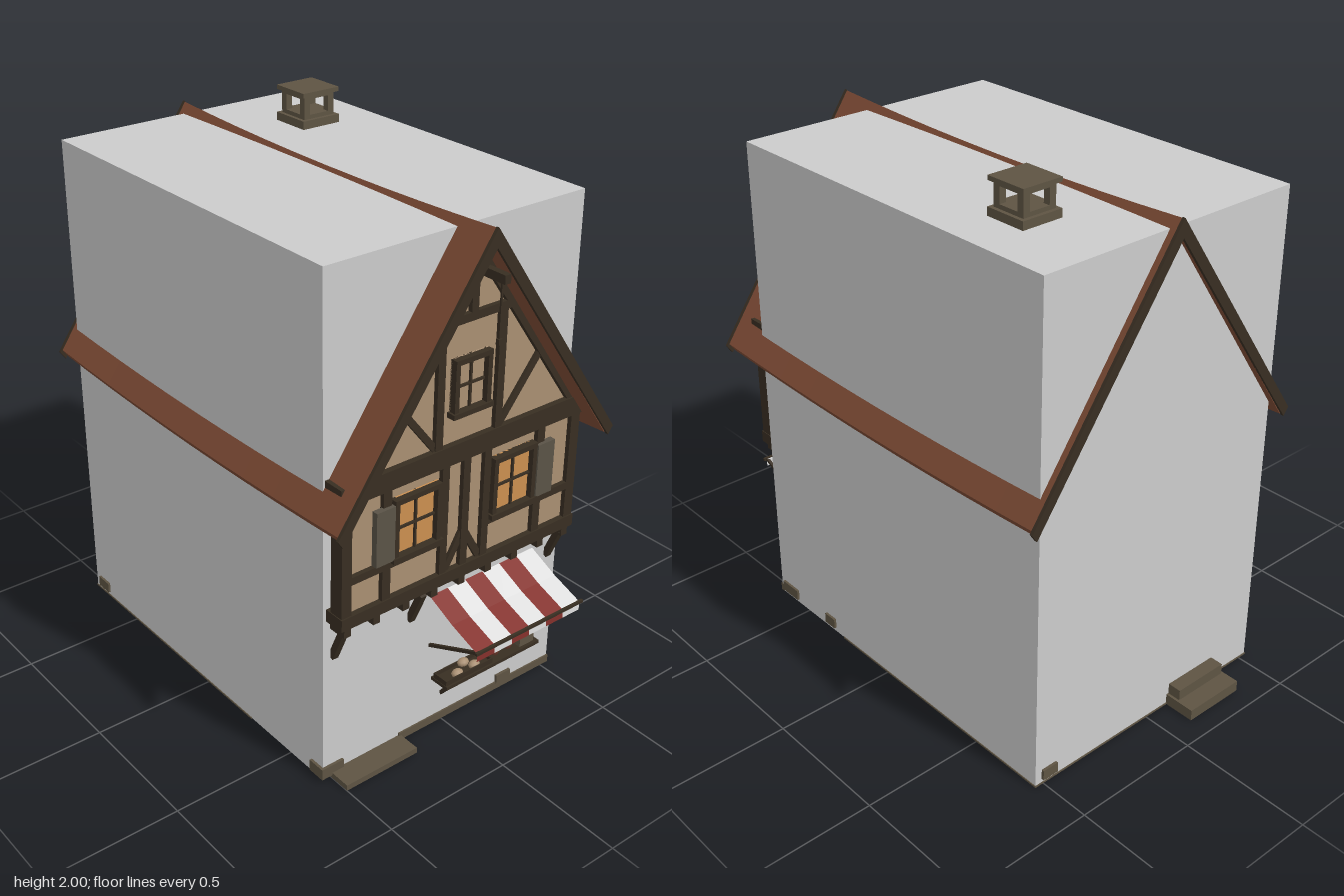
import * as THREE from 'three';

const mat = (name, color, side = THREE.FrontSide) => {
  const m = new THREE.MeshStandardMaterial({ color, side });
  m.name = name;
  return m;
};

export function createModel() {
  const house = new THREE.Group();
  house.name = 'timberHouse';
  const wall = mat('paleGrey', 0xcccccc);
  const timber = mat('darkTimber', 0x382e22);
  const plaster = mat('plaster', 0xa98f72);
  const tile = mat('roofTile', 0x7c4a34);
  const stone = mat('stone', 0x5e5443);
  const shutterPaint = mat('shutterGrey', 0x5a5347);
  const glow = mat('amberGlass', 0xcc9050);
  const red = mat('awningRed', 0x84302b, THREE.DoubleSide);
  const white = mat('awningWhite', 0xdedede, THREE.DoubleSide);
  const clay = mat('clay', 0x7c4636);

  const add = (name, geometry, material) => {
    const mesh = new THREE.Mesh(geometry, material);
    mesh.name = name;
    house.add(mesh);
    return mesh;
  };
  // Box given by its limits on each axis
  const box = (name, m, x0, x1, y0, y1, z0, z1) => {
    const mesh = add(name, new THREE.BoxGeometry(x1 - x0, y1 - y0, z1 - z0), m);
    mesh.position.set((x0 + x1) / 2, (y0 + y1) / 2, (z0 + z1) / 2);
    return mesh;
  };
  // Straight beam between two points
  const beam = (name, a, b, w, d, m = timber) => {
    const p = new THREE.Vector3(...a), q = new THREE.Vector3(...b);
    const mesh = add(name, new THREE.BoxGeometry(w, p.distanceTo(q), d), m);
    mesh.position.copy(p).add(q).multiplyScalar(0.5);
    mesh.quaternion.setFromUnitVectors(new THREE.Vector3(0, 1, 0), q.sub(p).normalize());
    return mesh;
  };
  const extrude = (name, points, z0, z1, m, steps = 1) => {
    const shape = new THREE.Shape(points.map(([x, y]) => new THREE.Vector2(x, y)));
    const g = new THREE.ExtrudeGeometry(shape, { depth: z1 - z0, steps, bevelEnabled: false });
    g.translate(0, 0, z0);
    return add(name, g, m);
  };

  // Main block
  box('mainBlock', wall, -0.533, 0.533, 0.003, 1.87, -0.8, 0.68);

  // Sagging roof and end boards
  const chevron = (top, w, eave, t) => [
    [0, top], [-w, eave], [-w + 0.02, eave - 0.03], [0, top - t], [w - 0.02, eave - 0.03], [w, eave]];
  const roof = extrude('roof', chevron(1.905, 0.588, 1.063, 0.05), -0.825, 0.825, tile, 10);
  const rp = roof.geometry.attributes.position;
  for (let i = 0; i < rp.count; i++) {
    rp.setY(i, rp.getY(i) - 0.022 * (1 - (rp.getZ(i) / 0.825) ** 2));
  }
  roof.geometry.computeVertexNormals();
  for (const [z0, z1] of [[0.824, 0.836], [-0.836, -0.824]]) {
    extrude('bargeboard', chevron(1.908, 0.597, 1.055, 0.065), z0, z1, timber);
  }

  // Projecting upper storey and gable
  extrude('plasterFront', [[-0.49, 0.66], [0.49, 0.66], [0.49, 1.15], [0, 1.85], [-0.49, 1.15]],
    0.675, 0.738, plaster);
  const F0 = 0.7, F1 = 0.755;
  box('sillBeam', timber, -0.52, 0.52, 0.65, 0.695, 0.68, 0.76);
  box('topPlate', timber, -0.525, 0.525, 1.1, 1.17, 0.68, 0.76);
  for (const x of [-0.49, -0.37, -0.245, -0.122, 0, 0.122, 0.245, 0.37, 0.49]) {
    box('joistEnd', timber, x - 0.014, x + 0.014, 0.615, 0.655, 0.68, 0.753);
  }
  box('centrePost', timber, -0.015, 0.015, 0.69, 1.11, F0, F1);
  box('collarBeam', timber, -0.2, 0.2, 1.583, 1.612, F0, F1);
  box('kingPost', timber, -0.014, 0.014, 1.6, 1.86, F0, F1);
  for (const s of [-1, 1]) {
    const post = (name, x, w, y0, y1) =>
      box(name, timber, s * x - w / 2, s * x + w / 2, y0, y1, F0, F1);
    post('cornerPost', 0.497, 0.04, 0.69, 1.11);
    post('wallPost', 0.335, 0.034, 0.69, 1.11);
    post('innerPost', 0.092, 0.03, 0.69, 1.11);
    post('gablePost', 0.128, 0.03, 1.16, 1.6);
    post('rail', 0.295, 0.41, 0.808, 0.836);
    box('sideRail', timber, s * 0.49 - 0.008, s * 0.49 + 0.008, 0.808, 0.836, 0.68, 0.75);
    beam('sideBrace', [s * 0.49, 0.69, 0.72], [s * 0.49, 0.81, 0.685], 0.014, 0.02);
    beam('lowerBrace', [s * 0.08, 0.69, 0.735], [s * 0.005, 0.82, 0.735], 0.026, 0.03);
    beam('gableBrace', [s * 0.135, 1.17, 0.735], [s * 0.31, 1.39, 0.735], 0.024, 0.03);
    beam('rafter', [s * 0.525, 1.1, 0.73], [0, 1.845, 0.73], 0.045, 0.05);
  }
  // Slanting supports under the overhang
  for (const x of [-0.49, -0.16, 0.487]) {
    beam('jettyBracket', [x, 0.5, 0.68], [x, 0.63, 0.735], 0.024, 0.024);
  }

  // Windows with frames and glazing bars
  const windowAt = (cx, y0, y1, w, pane) => {
    const h = w / 2, t = 0.018, cy = (y0 + y1) / 2;
    box('windowPane', pane, cx - h, cx + h, y0, y1, 0.735, 0.744);
    for (const s of [-1, 1]) {
      const x = cx + s * (h - t / 2);
      box('windowJamb', timber, x - t / 2, x + t / 2, y0, y1, 0.735, 0.765);
    }
    box('windowHead', timber, cx - h, cx + h, y1 - t, y1, 0.735, 0.766);
    box('windowSill', timber, cx - h - 0.008, cx + h + 0.008, y0, y0 + t, 0.735, 0.772);
    box('glazingBar', timber, cx - 0.004, cx + 0.004, y0, y1, 0.735, 0.752);
    box('glazingBar', timber, cx - h, cx + h, cy - 0.004, cy + 0.004, 0.735, 0.752);
  };
  for (const s of [-1, 1]) {
    windowAt(s * 0.213, 0.828, 1.055, 0.195, glow);
    box('shutter', shutterPaint, s * 0.351 - 0.038, s * 0.351 + 0.038, 0.842, 1.042, 0.745, 0.768);
  }
  windowAt(0, 1.268, 1.468, 0.155, plaster);

  // Hoist under the gable peak
  box('hoistBeam', timber, -0.012, 0.012, 1.745, 1.775, 0.73, 0.885);
  box('hoistRope', timber, -0.003, 0.003, 1.56, 1.75, 0.859, 0.865);
  box('hoistHook', timber, -0.007, 0.007, 1.54, 1.56, 0.855, 0.869);

  // Striped awning
  const drape = [[0.555, 0.68], [0.5, 0.795], [0.455, 0.918], [0.422, 0.919]];
  for (let i = 0; i < 6; i++) {
    const g = new THREE.PlaneGeometry(0.081, 1, 1, 3).toNonIndexed();
    const p = g.attributes.position;
    for (let v = 0; v < p.count; v++) {
      const [y, z] = drape[Math.round((0.5 - p.getY(v)) * 3)];
      p.setXYZ(v, p.getX(v) - 0.033 + i * 0.081, y, z);
    }
    g.computeVertexNormals();
    add('awningStripe', g, i % 2 ? white : red);
  }
  box('awningBar', timber, -0.08, 0.425, 0.45, 0.46, 0.915, 0.925);
  for (const x of [-0.066, 0.41]) {
    beam('awningStrut', [x, 0.35, 0.68], [x, 0.455, 0.92], 0.011, 0.011);
  }

  // Market shelf and goods
  box('shelf', timber, -0.052, 0.395, 0.195, 0.208, 0.68, 0.762);
  for (const x of [0, 0.345]) {
    beam('shelfBracket', [x, 0.115, 0.68], [x, 0.2, 0.748], 0.016, 0.014);
  }
  box('tray', timber, -0.05, 0.17, 0.208, 0.214, 0.69, 0.755);
  for (const z of [0.69, 0.75]) box('traySide', timber, -0.05, 0.17, 0.208, 0.228, z, z + 0.005);
  for (const x of [-0.05, 0.165]) box('trayEnd', timber, x, x + 0.005, 0.208, 0.228, 0.69, 0.755);
  for (const [x, y, z] of [[0.02, 0.222, 0.735], [0.065, 0.236, 0.715], [0.1, 0.222, 0.735]]) {
    const loaf = add('loaf', new THREE.SphereGeometry(0.024, 10, 6), plaster);
    loaf.scale.set(1, 0.65, 0.75);
    loaf.position.set(x, y, z);
  }
  const jug = [[0, 0], [0.013, 0], [0.021, 0.025], [0.018, 0.04], [0.011, 0.05], [0.015, 0.061], [0, 0.061]]
    .map(([x, y]) => new THREE.Vector2(x, y));
  for (const x of [0.213, 0.275]) {
    add('jug', new THREE.LatheGeometry(jug, 10), clay).position.set(x, 0.208, 0.72);
  }
  box('crate', stone, 0.31, 0.378, 0.208, 0.242, 0.69, 0.75);

  // Chimney with open sides
  const cx = 0.282, cz = -0.447;
  const tier = (name, r, y0, y1) => box(name, stone, cx - r, cx + r, y0, y1, cz - r, cz + r);
  tier('chimneyBase', 0.08, 1.865, 1.9);
  tier('chimneyCollar', 0.066, 1.9, 1.915);
  tier('chimneyLintel', 0.066, 1.972, 1.984);
  tier('chimneyCap', 0.079, 1.984, 2);
  for (const sx of [-1, 1]) for (const sz of [-1, 1]) {
    const x = cx + sx * 0.053, z = cz + sz * 0.053;
    box('chimneyPost', stone, x - 0.013, x + 0.013, 1.91, 1.975, z - 0.013, z + 0.013);
  }

  // Plinth, steps and scattered corner stones
  box('plinth', stone, -0.2, 0.535, 0.003, 0.033, 0.67, 0.686);
  box('sidePlinth', stone, -0.536, 0.536, 0, 0.006, -0.803, 0.27);
  box('frontStep', stone, -0.5, -0.19, 0, 0.022, 0.67, 0.77);
  box('backStep', stone, -0.35, -0.105, 0, 0.043, -0.92, -0.79);
  box('backStepUpper', stone, -0.34, -0.115, 0.043, 0.085, -0.852, -0.79);
  box('frontStone', stone, 0.265, 0.333, 0.028, 0.064, 0.67, 0.69);
  box('cornerStone', stone, -0.543, -0.45, 0.012, 0.055, 0.62, 0.69);
  box('sideStone', stone, 0.52, 0.542, 0.018, 0.06, 0.565, 0.66);
  box('sideStone', stone, 0.52, 0.542, 0.02, 0.06, 0.32, 0.378);
  box('sideStone', stone, -0.542, -0.52, 0.02, 0.06, -0.77, -0.7);
  box('backStone', stone, 0.44, 0.505, 0.02, 0.06, -0.81, -0.79);

  return house;
}
